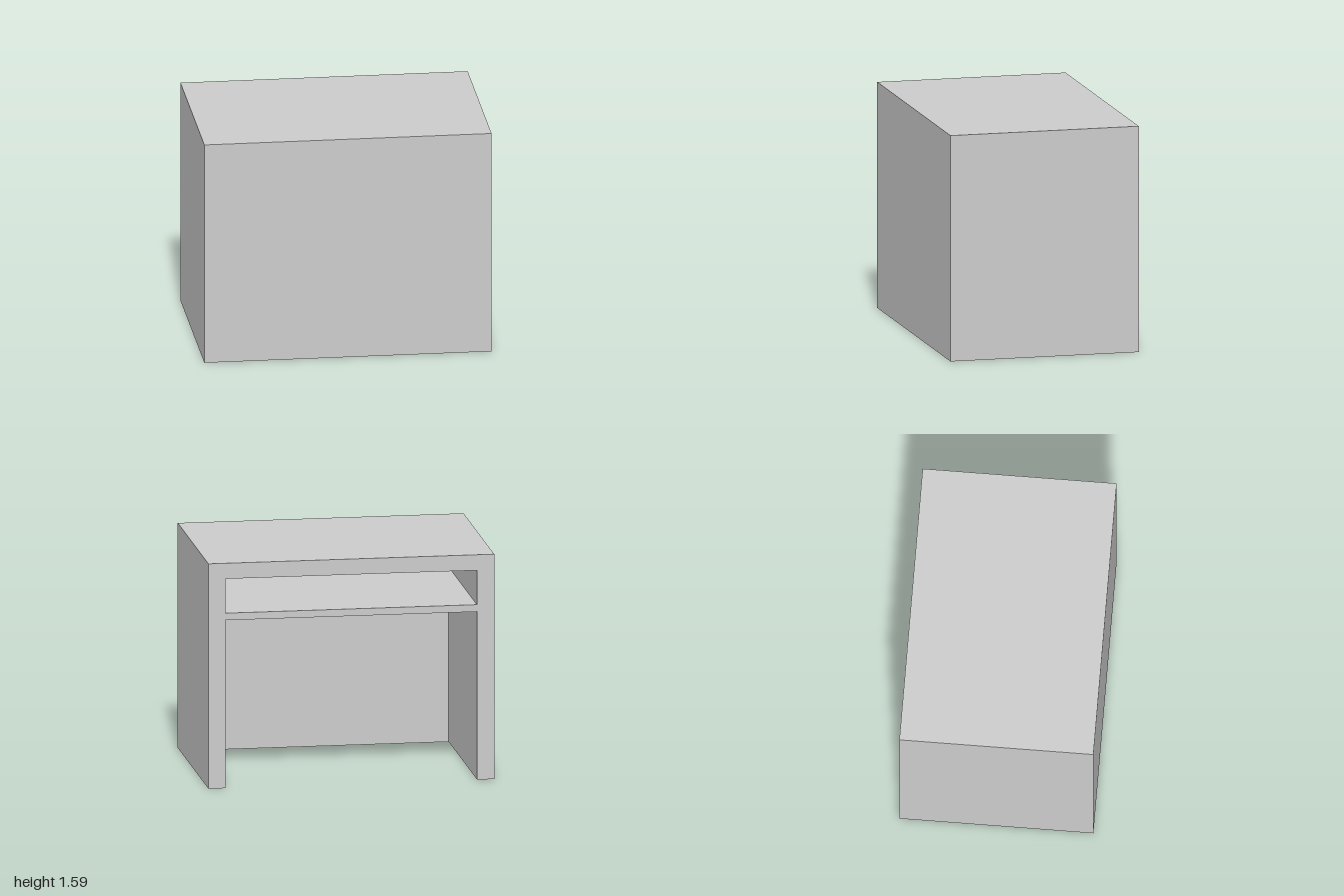
import * as THREE from 'three';

const W = 2, H = 1.59, D = 1.345;          // overall size
const SIDE = 0.12, TOP = 0.11, FRONT = 0.1; // panel thicknesses

export function createModel() {
  const desk = new THREE.Group();
  desk.name = 'desk';
  const material = new THREE.MeshStandardMaterial({ color: 0xcccccc, flatShading: true });

  const add = (name, geometry, x, y, z) => {
    const mesh = new THREE.Mesh(geometry, material);
    mesh.name = name;
    mesh.position.set(x, y, z);
    desk.add(mesh);
  };

  // Side panels and top as one arch, open towards the back
  const o = W / 2, i = o - SIDE;
  const arch = new THREE.Shape([
    [-o, 0], [-i, 0], [-i, H - TOP], [i, H - TOP], [i, 0], [o, 0], [o, H], [-o, H],
  ].map(([x, y]) => new THREE.Vector2(x, y)));
  add('sidesAndTop', new THREE.ExtrudeGeometry(arch, { depth: D - FRONT, bevelEnabled: false }), 0, 0, -D / 2);

  // Full-height panel closing the front
  add('frontPanel', new THREE.BoxGeometry(W, H, FRONT), 0, H / 2, D / 2 - FRONT / 2);

  // Shelf under the top, set back slightly from the open edge
  const inset = 0.01, shelfDepth = D - FRONT - inset;
  add('shelf', new THREE.BoxGeometry(2 * i, 0.05, shelfDepth), 0, 1.21, -D / 2 + inset + shelfDepth / 2);

  return desk;
}
